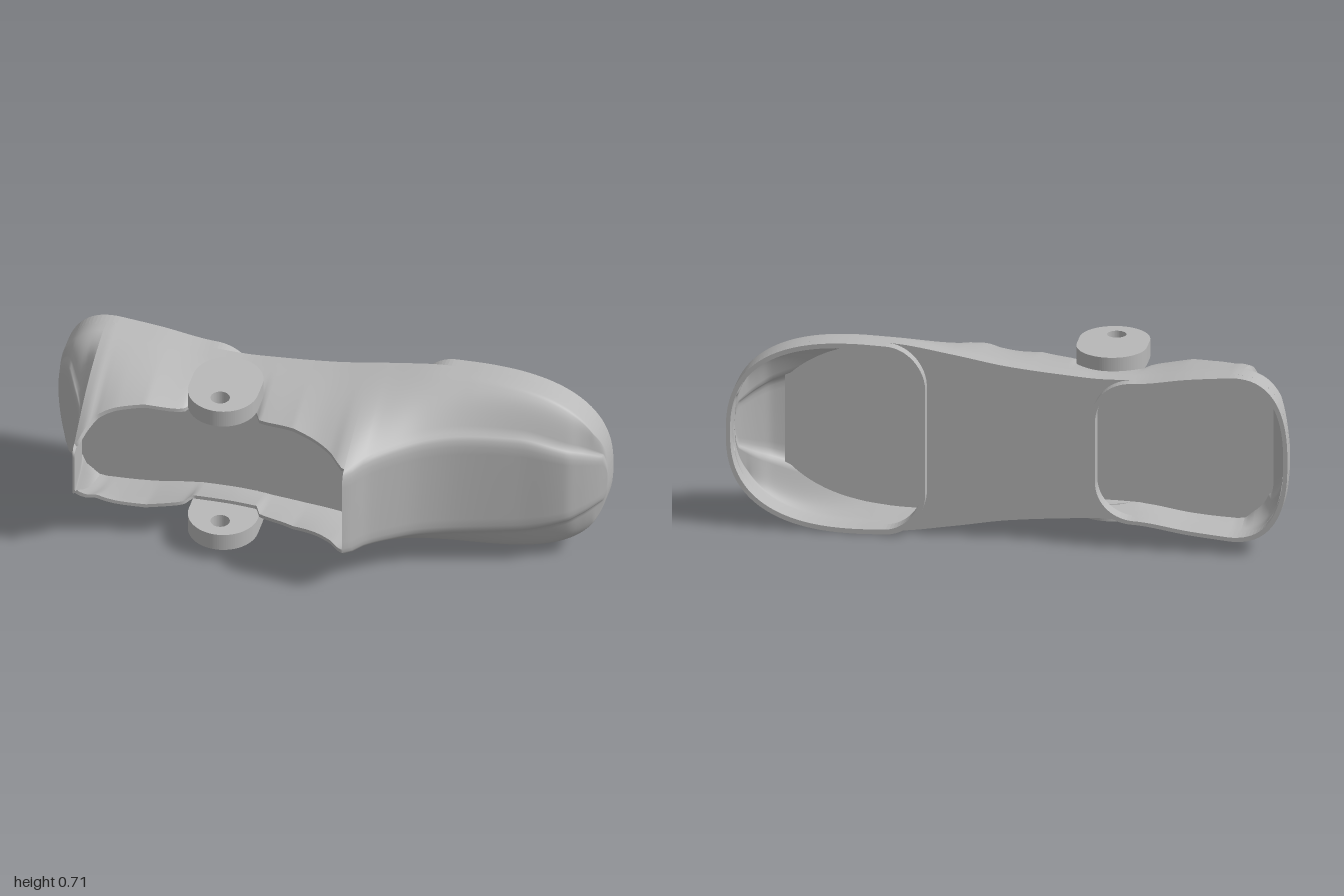
import * as THREE from 'three';

const YC = 0.357; // height of the mirror plane
const HEEL = -0.83, TOE = 0.15; // ends of the front opening
const BACK = -0.225, FLOOR = -0.1, T = 0.014;

// Smooth interpolation through [x, value] pairs, without overshoot
function curve(pts) {
  const n = pts.length;
  const slope = i => (pts[i + 1][1] - pts[i][1]) / (pts[i + 1][0] - pts[i][0]);
  const tangent = i => {
    if (i === 0) return slope(0);
    if (i === n - 1) return slope(n - 2);
    const a = slope(i - 1), b = slope(i);
    return a * b <= 0 ? 0 : (2 * a * b) / (a + b);
  };
  return x => {
    if (x <= pts[0][0]) return pts[0][1];
    if (x >= pts[n - 1][0]) return pts[n - 1][1];
    let i = 0;
    while (x > pts[i + 1][0]) i++;
    const d = pts[i + 1][0] - pts[i][0], t = (x - pts[i][0]) / d, t2 = t * t, t3 = t2 * t;
    return (2 * t3 - 3 * t2 + 1) * pts[i][1] + (t3 - 2 * t2 + t) * d * tangent(i)
      + (3 * t2 - 2 * t3) * pts[i + 1][1] + (t3 - t2) * d * tangent(i + 1);
  };
}

// Half height of the base outline, with rounded heel and toe ends
const waist = curve([[-0.8, 0.308], [-0.65, 0.293], [-0.45, 0.265], [-0.33, 0.262], [-0.2, 0.27],
  [0, 0.289], [0.2, 0.323], [0.4, 0.352], [0.52, 0.357]]);
const round = u => Math.pow(Math.max(0, 1 - Math.pow(Math.min(u, 1), 2.5)), 0.4);
function halfHeight(x) {
  if (x < -0.8) return 0.308 * round((-0.8 - x) / 0.2);
  if (x > 0.52) return 0.357 * round((x - 0.52) / 0.48);
  return waist(x);
}

// Front edge: depth z (dipping beside the ears) and half width along x
const frontZ = curve([[-1, -0.2], [-0.95, -0.11], [-0.9, -0.02], [-0.86, 0.06], [-0.84, 0.17], [-0.83, 0.262],
  [-0.8, 0.205], [-0.77, 0.155], [-0.65, 0.115], [-0.5, 0.085], [-0.47, 0.07], [-0.45, 0.035], [-0.22, 0.035],
  [-0.2, 0.075], [-0.1, 0.095], [0, 0.125], [0.08, 0.175], [0.13, 0.24], [0.15, 0.264], [0.17, 0.25],
  [0.2, 0.2], [0.28, 0.125], [0.38, 0.055], [0.5, 0.005], [0.7, -0.045], [0.87, -0.08], [0.92, -0.11],
  [0.97, -0.15], [1, -0.18]]);
const frontW = curve([[-1, 0.25], [-0.93, 0.2], [-0.88, 0.15], [-0.83, 0.11], [-0.8, 0.155], [-0.76, 0.192],
  [-0.7, 0.216], [-0.6, 0.23], [-0.45, 0.24], [-0.33, 0.245], [-0.2, 0.24], [0, 0.215], [0.12, 0.197],
  [0.15, 0.187], [0.2, 0.195], [0.3, 0.207], [0.5, 0.222], [0.7, 0.212], [0.85, 0.17], [0.92, 0.14], [1, 0.09]]);
const halfWidth = x => Math.min(frontW(x), halfHeight(x) * 0.8);

// Rounding of the front panels' long edges, fading out along the opening
function edgeDrop(x) {
  const away = x > HEEL && x < TOE ? Math.min(x - HEEL, TOE - x) : 0;
  return 0.028 * Math.min(1, halfHeight(x) / 0.25) * Math.exp(-away / 0.03);
}
const edgeZ = x => frontZ(x) - edgeDrop(x);
const shoulderZ = x => Math.min(-0.165, edgeZ(x) - 0.008);

// Stations along x, denser toward both ends
const heelX = [], midX = [], toeX = [];
for (let i = 0; i <= 24; i++) heelX.push(-1 + (HEEL + 1) * (i / 24) ** 2);
for (let i = 0; i <= 98; i++) midX.push(HEEL + (TOE - HEEL) * (i / 98));
for (let i = 0; i <= 60; i++) toeX.push(1 - (1 - TOE) * (1 - i / 60) ** 2);
const allX = [...heelX, ...midX.slice(1), ...toeX.slice(1)];

// Half height of the wall at fraction k from shoulder to front edge
function wall(x, k) {
  const h = halfHeight(x), w = halfWidth(x);
  return h + (w - h) * k + 0.17 * (h - w) * Math.sin(Math.PI * k);
}

// Half a section at x, from the back edge to the front edge, inset by t
function side(x, s, t) {
  const px = x - (t ? 0.02 * x ** 5 : 0);
  const zs = shoulderZ(x), ze = edgeZ(x) - (x < HEEL || x > TOE ? t * 0.6 : 0);
  const at = (h, z) => [px, YC + s * Math.max(0, h - t), z];
  const h = halfHeight(x);
  const out = [at(h, BACK), at(h, (BACK + zs) / 2), at(h, zs - 0.008)];
  for (let j = 0; j <= 10; j++) {
    const k = 0.03 + 0.97 * j / 10;
    out.push(at(wall(x, k), zs + (ze - zs) * k));
  }
  return out;
}

// Front panel between the two edges of a section, with rounded borders
function panel(x, t) {
  const a = side(x, 1, t).pop(), half = a[1] - YC, d = edgeDrop(x);
  return [[1, 0], [0.96, 0.45], [0.9, 0.75], [0.8, 0.95], [0.65, 1], [0, 1],
    [-0.65, 1], [-0.8, 0.95], [-0.9, 0.75], [-0.96, 0.45], [-1, 0]]
    .map(([u, lift]) => [a[0], YC + u * half, a[2] + d * lift]);
}
const closedSection = (x, t) =>
  [...side(x, 1, t).slice(0, -1), ...panel(x, t), ...side(x, -1, t).reverse().slice(1)];

// Surface through rows of points
function grid(rows) {
  const m = rows[0].length, index = [];
  for (let i = 0; i < rows.length - 1; i++)
    for (let j = 0; j < m - 1; j++) {
      const a = i * m + j, b = a + m;
      index.push(a, b, a + 1, b, b + 1, a + 1);
    }
  const g = new THREE.BufferGeometry();
  g.setAttribute('position', new THREE.Float32BufferAttribute(rows.flat(2), 3));
  g.setIndex(index);
  g.computeVertexNormals();
  return g;
}

// Closed shape mirrored about the centre line from a half outline
function mirrored(xs, f, Kind = THREE.Shape) {
  const up = xs.map(x => new THREE.Vector2(x, YC + f(x)));
  const down = xs.map(x => new THREE.Vector2(x, YC - f(x))).reverse();
  return new Kind([...up, ...down]);
}

export function createModel() {
  const group = new THREE.Group();
  const grey = new THREE.MeshStandardMaterial({ color: 0xb8b8b8, side: THREE.DoubleSide });
  grey.name = 'light grey';
  const add = (name, geometry) => {
    const mesh = new THREE.Mesh(geometry, grey);
    mesh.name = name;
    group.add(mesh);
    return mesh;
  };

  // Outer and inner skins: closed heel and toe, open side walls between
  for (const [skin, t] of [['outer', 0], ['inner', T]]) {
    add(skin + 'Heel', grid(heelX.map(x => closedSection(x, t))));
    add(skin + 'Toe', grid(toeX.map(x => closedSection(x, t))));
    for (const s of [1, -1]) add(skin + 'SideWall', grid(midX.map(x => side(x, s, t))));
  }

  // Lip around the front opening
  for (const s of [1, -1])
    add('openingLip', grid(midX.map(x => [side(x, s, 0).pop(), side(x, s, T).pop()])));
  for (const x of [HEEL, TOE]) add('openingEndLip', grid([panel(x, 0), panel(x, T)]));

  // Inner floor, following the walls at its depth
  const floorX = allX.filter(x => edgeZ(x) > FLOOR + 0.005);
  add('innerFloor', new THREE.ShapeGeometry(mirrored(floorX, x =>
    wall(x, (FLOOR - shoulderZ(x)) / (edgeZ(x) - shoulderZ(x))) - 0.01))).position.z = FLOOR;

  // Back plate with two pockets, each with a thin raised rim
  const plate = mirrored(allX, halfHeight);
  for (const [name, end, inner] of [['heelRim', -1, -0.3], ['toeRim', 1, 0.29]]) {
    const r = 0.14, xs = [];
    for (let i = 0; i <= 60; i++) {
      const k = (1 - Math.cos(Math.PI * i / 60)) / 2;
      xs.push(end < 0 ? end + (inner - end) * k : inner + (end - inner) * k);
    }
    const half = x => {
      const d = Math.min(r, Math.abs(x - inner));
      return Math.max(0, halfHeight(x) - r + Math.sqrt(r * r - (r - d) ** 2));
    };
    const mid = (end + inner) / 2, shrink = 1 - 0.015 / Math.abs(mid - inner);
    const hole = () => mirrored(xs.map(x => mid + (x - mid) * shrink),
      x => Math.max(0.001, half(mid + (x - mid) / shrink) * 0.95), THREE.Path);
    const rim = mirrored(xs, half);
    rim.holes.push(hole());
    plate.holes.push(hole());
    add(name, new THREE.ExtrudeGeometry(rim, { depth: 0.04, bevelEnabled: false })).position.z = -0.264;
  }
  add('backPlate', new THREE.ExtrudeGeometry(plate, { depth: 0.015, bevelEnabled: false })).position.z = BACK;

  // Mounting ears above and below, each with a through hole
  const ear = new THREE.Shape();
  ear.absarc(0, 0.055, 0.125, 0, Math.PI);
  ear.absarc(0, -0.01, 0.125, Math.PI, Math.PI * 2);
  ear.closePath();
  ear.holes.push(new THREE.Path().absarc(0, 0.1, 0.034, 0, Math.PI * 2, true));
  const earGeo = new THREE.ExtrudeGeometry(ear, { depth: 0.066, bevelEnabled: false, curveSegments: 24 });
  earGeo.rotateX(Math.PI / 2);
  add('upperEar', earGeo).position.set(-0.335, 0.666, 0);
  add('lowerEar', earGeo).position.set(-0.335, 0.116, 0);

  return group;
}
